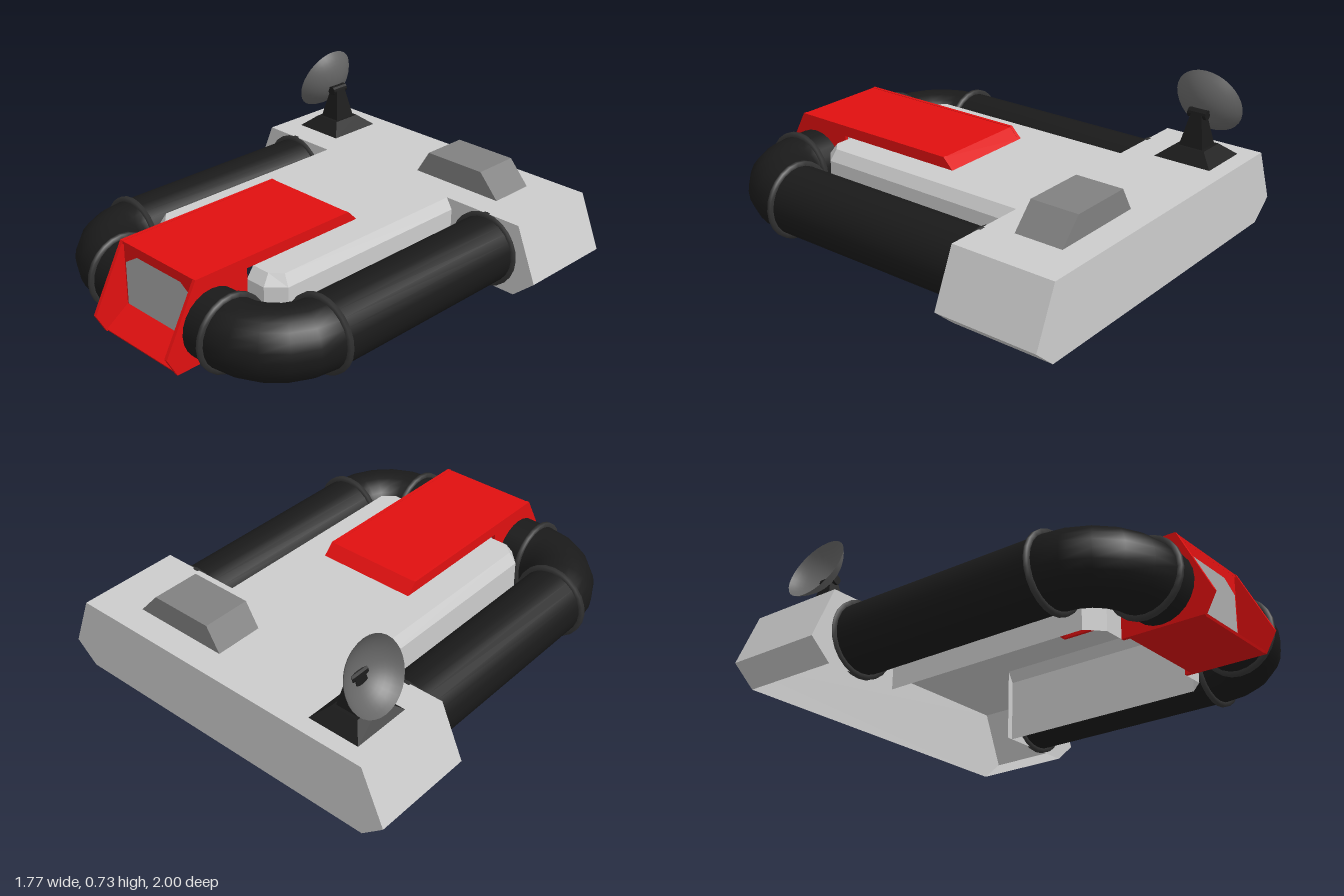
import * as THREE from 'three';

const mat = (color, flatShading = true) =>
  new THREE.MeshStandardMaterial({ color, flatShading, side: THREE.DoubleSide });
const HULL = mat(0xcccccc), RED = mat(0xe01010), BLACK = mat(0x1a1a1a), TUBE = mat(0x1a1a1a, false);
const RING = mat(0x333333, false), VENT = mat(0x808080), DISH = mat(0x666666, false), GLASS = mat(0xaaaaaa);

function add(parent, name, geometry, material, x = 0, y = 0, z = 0) {
  const mesh = new THREE.Mesh(geometry, material);
  mesh.name = name;
  mesh.position.set(x, y, z);
  parent.add(mesh);
  return mesh;
}

// Flat-faced sheet through rows of points [x, y, z]
function sheet(rows) {
  const pos = [];
  for (let i = 0; i < rows.length - 1; i++) {
    for (let j = 0; j < rows[i].length - 1; j++) {
      const a = rows[i][j], b = rows[i][j + 1], c = rows[i + 1][j + 1], d = rows[i + 1][j];
      pos.push(...a, ...b, ...c, ...a, ...c, ...d);
    }
  }
  const g = new THREE.BufferGeometry();
  g.setAttribute('position', new THREE.Float32BufferAttribute(pos, 3));
  g.computeVertexNormals();
  return g;
}

const poly = pts => new THREE.Shape(pts.map(p => new THREE.Vector2(...p)));
const flat = pts => new THREE.ShapeGeometry(poly(pts));

// Box tapering from a base rectangle to a top rectangle [x0, x1, z0, z1]
function frustum(base, y0, top, y1) {
  const ring = ([x0, x1, z0, z1], y) => [[x0, y, z1], [x1, y, z1], [x1, y, z0], [x0, y, z0], [x0, y, z1]];
  const mid = ([x0, x1, z0, z1], y) => Array(5).fill([(x0 + x1) / 2, y, (z0 + z1) / 2]);
  return sheet([ring(base, y0), ring(top, y1), mid(top, y1)]);
}

function buildHull() {
  const g = new THREE.Group();
  g.name = 'hull';
  // T-shaped deck, notched under the canopy
  const half = [[0.24, -0.07], [0.24, 0.535], [0.33, 0.535], [0.38, 0.49], [0.38, -0.52], [0.78, -0.52], [0.78, -1]];
  const outline = [...half, ...half.map(([x, z]) => [-x, z]).reverse()];
  const deck = flat(outline.map(([x, z]) => [x, -z]));
  deck.rotateX(-Math.PI / 2);
  add(g, 'deck', deck, HULL, 0, 0.35, 0);
  // rear block, open underneath
  const end = [[0.78, 0.01], [0.885, 0.1], [0.78, 0.35]];
  add(g, 'rearWall', flat([...end, ...end.map(([x, y]) => [-x, y]).reverse()]), HULL, 0, 0, -1);
  for (const s of [1, -1]) {
    add(g, 'blockEnd', sheet([-0.52, -1].map(z => end.map(([x, y]) => [s * x, y, z]))), HULL);
    add(g, 'blockFront', flat([[0.38, 0.01], ...end, [0.38, 0.35]].map(([x, y]) => [s * x, y])), HULL, 0, 0, -0.52);
    // body wall with chamfered nose corner and bevelled top edge
    const outer = [[0.41, -0.52], [0.41, 0.5], [0.34, 0.57], [0.24, 0.57]];
    const inner = [[0.38, -0.52], [0.38, 0.49], [0.33, 0.535], [0.24, 0.535]];
    const row = (path, y) => path.map(([x, z]) => [s * x, y, z]);
    add(g, 'bodyWall', sheet([row(outer, 0.01), row(outer, 0.3), row(inner, 0.35)]), HULL);
  }
  return g;
}

function buildFloatTube(s) {
  const g = new THREE.Group();
  g.name = s > 0 ? 'leftTube' : 'rightTube';
  const r = 0.156, y = 0.176, bend = 0.25, x = 0.605, z = 0.51;
  const along = new THREE.CylinderGeometry(r, r, 1.03, 24, 1, true).rotateX(Math.PI / 2);
  add(g, 'sideTube', along, TUBE, s * x, y, -0.005);
  const elbow = new THREE.TorusGeometry(bend, r, 24, 5, Math.PI / 2).rotateX(Math.PI / 2);
  if (s < 0) elbow.rotateY(-Math.PI / 2);
  add(g, 'elbow', elbow, TUBE, s * (x - bend), y, z);
  const across = new THREE.CylinderGeometry(r, r, 0.125, 24, 1, true).rotateZ(Math.PI / 2);
  add(g, 'frontTube', across, TUBE, s * 0.2975, y, z + bend);
  // joint rings
  const ring = () => new THREE.LatheGeometry(
    [[r, -0.009], [0.176, -0.009], [0.176, 0.009], [r, 0.009]].map(p => new THREE.Vector2(...p)), 24);
  add(g, 'ring', ring().rotateX(Math.PI / 2), RING, s * x, y, z);
  add(g, 'ring', ring().rotateX(Math.PI / 2), RING, s * x, y, -0.52);
  add(g, 'ring', ring().rotateZ(Math.PI / 2), RING, s * (x - bend), y, z + bend);
  return g;
}

function buildCanopy() {
  const g = new THREE.Group();
  g.name = 'canopy';
  const span = pts => sheet([-0.24, 0.24].map(x => pts.map(([z, y]) => [x, y, z])));
  add(g, 'roof', span([[-0.07, 0.35], [-0.02, 0.398], [0.84, 0.398], [0.84, 0.385]]), RED);
  add(g, 'chin', span([[0.835, 0.1], [0.95, 0.02], [0.945, 0.01], [0.6, 0.01]]), RED);
  // side plates reaching past the windscreen
  const side = poly([[-0.07, 0.35], [-0.02, 0.4], [0.84, 0.4], [1, 0.1], [0.95, 0.01], [0.57, 0.01], [0.57, 0.35]]);
  const plate = new THREE.ExtrudeGeometry(side, { depth: 0.016, bevelEnabled: false }).rotateY(-Math.PI / 2);
  add(g, 'sidePlate', plate, RED, 0.242, 0, 0);
  add(g, 'sidePlate', plate, RED, -0.226, 0, 0);
  // windscreen with clipped upper corners in a red surround
  const pane = [[-0.22, 0.1], [0.22, 0.1], [0.22, 0.3], [0.14, 0.35], [-0.14, 0.35], [-0.22, 0.3]];
  const frame = poly([[-0.23, 0.095], [0.23, 0.095], [0.23, 0.39], [-0.23, 0.39]]);
  frame.holes.push(poly(pane));
  add(g, 'windscreenFrame', new THREE.ShapeGeometry(frame), RED, 0, 0, 0.835);
  add(g, 'windscreen', flat(pane), GLASS, 0, 0, 0.835);
  return g;
}

function buildAntenna() {
  const g = new THREE.Group();
  g.name = 'antenna';
  add(g, 'base', frustum([-0.7, -0.45, -0.925, -0.65], 0.35, [-0.64, -0.51, -0.86, -0.715], 0.402), BLACK);
  add(g, 'pedestal', frustum([-0.63, -0.52, -0.845, -0.73], 0.4, [-0.597, -0.553, -0.815, -0.76], 0.545), BLACK);
  add(g, 'pivot', new THREE.CylinderGeometry(0.022, 0.022, 0.09, 12).rotateX(Math.PI / 2), BLACK, -0.575, 0.545, -0.787);
  // shallow spherical bowl facing the right side
  const R = 0.162, depth = 0.085, rad = (R * R + depth * depth) / (2 * depth), arc = Math.asin(R / rad);
  const profile = [];
  for (let i = 0; i <= 8; i++) {
    const a = arc * i / 8;
    profile.push(new THREE.Vector2(rad * Math.sin(a), rad * (1 - Math.cos(a))));
  }
  add(g, 'dish', new THREE.LatheGeometry(profile, 32), DISH, -0.585, 0.551, -0.787).rotation.z = 1.224;
  return g;
}

export function createModel() {
  const model = new THREE.Group();
  model.name = 'hovercraft';
  model.add(buildHull(), buildFloatTube(1), buildFloatTube(-1), buildCanopy(), buildAntenna());
  add(model, 'vent', frustum([0.09, 0.56, -0.875, -0.65], 0.35, [0.155, 0.46, -0.875, -0.65], 0.46), VENT);
  return model;
}
